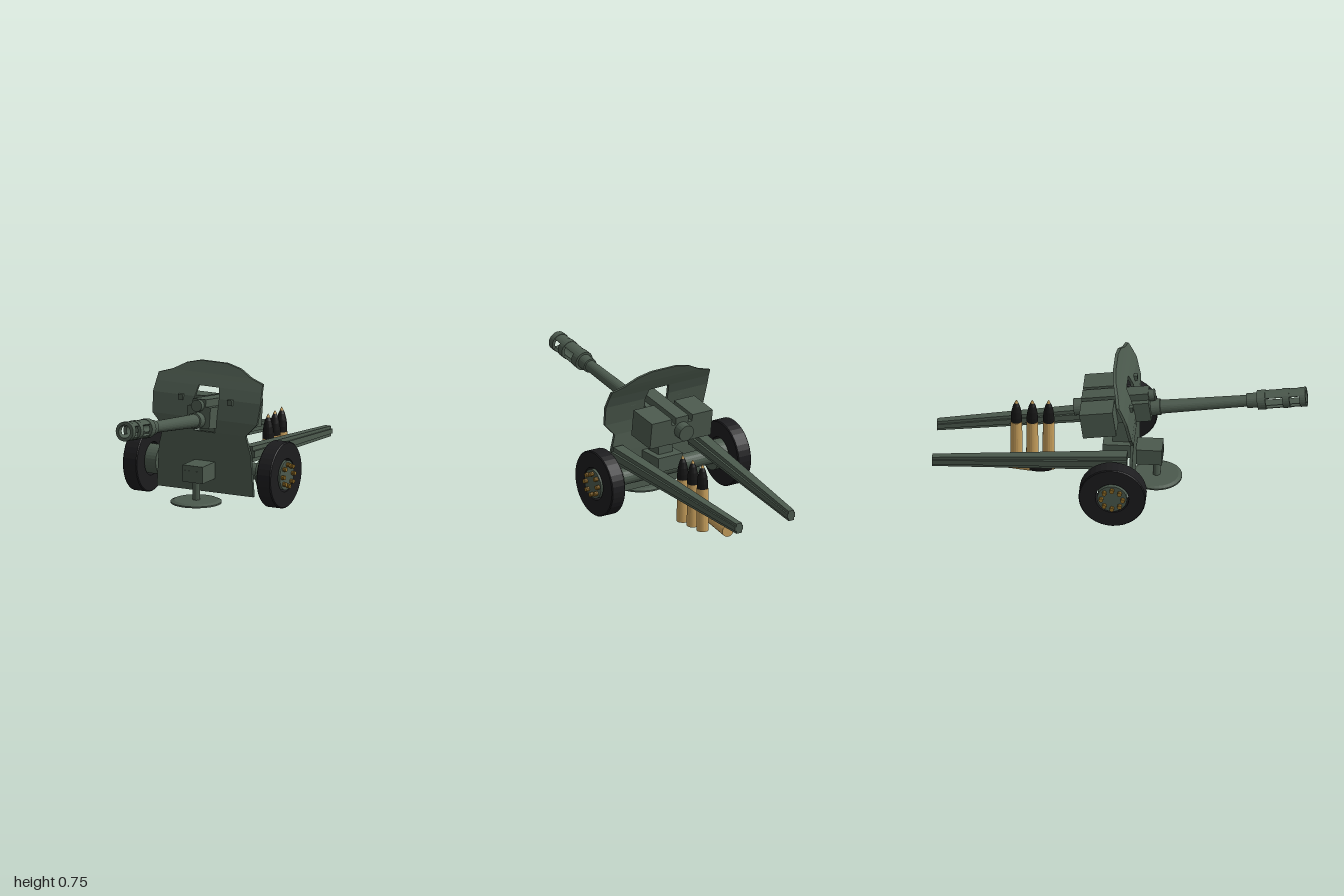
import * as THREE from 'three';

const mat = (color) => new THREE.MeshStandardMaterial({ color, flatShading: true });

export function createModel() {
  const root = new THREE.Group();
  const green = mat(0x4b594d), rubber = mat(0x1c1c1e), brass = mat(0xc79f5c);
  const black = mat(0x151515), bolt = mat(0x8f6b25);

  const add = (parent, name, geo, material, x = 0, y = 0, z = 0) => {
    const m = new THREE.Mesh(geo, material);
    m.name = name;
    m.position.set(x, y, z);
    parent.add(m);
    return m;
  };
  const group = (name, parent = root) => {
    const g = new THREE.Group();
    g.name = name;
    parent.add(g);
    return g;
  };
  const box = (w, h, d) => new THREE.BoxGeometry(w, h, d);
  const lathe = (pts, n = 24) => new THREE.LatheGeometry(pts.map(p => new THREE.Vector2(...p)), n);
  // hollow turned part along +z, profile given as [radius, z]
  const turned = (pts, n = 24) => lathe(pts, n).rotateX(Math.PI / 2);
  const ring = (inner, outer, a, b, n) =>
    turned([[inner, a], [outer, a], [outer, b], [inner, b], [inner, a]], n);

  // ---- Gun: everything here tilts with the barrel, z runs along the bore
  const gun = group('gun');
  gun.position.set(0.003, 0.475, 0.21);
  gun.rotation.x = -0.138;
  add(gun, 'barrel', turned([[0.02, -0.06], [0.044, -0.06], [0.044, 0], [0.037, 0.002], [0.031, 0.466],
    [0.04, 0.467], [0.04, 0.54], [0.02, 0.54], [0.02, -0.06]]), green);
  const brake = group('muzzleBrake', gun);
  for (const [a, b] of [[0.525, 0.57], [0.662, 0.7], [0.754, 0.788]])
    add(brake, 'brakeRing', ring(0.035, 0.053, a, b), green);
  // top and bottom bridges leave windows on both sides
  for (const [a, b] of [[0.57, 0.662], [0.7, 0.754]])
    for (const mid of [Math.PI / 2, -Math.PI / 2]) {
      const s = new THREE.Shape();
      s.absarc(0, 0, 0.05, mid - 0.92, mid + 0.92, false);
      s.absarc(0, 0, 0.035, mid + 0.92, mid - 0.92, true);
      add(brake, 'brakeBridge',
        new THREE.ExtrudeGeometry(s, { depth: b - a, bevelEnabled: false, curveSegments: 8 }), green, 0, 0, a);
    }
  // cradle, recoil cylinder, breech and side housings
  add(gun, 'cradle', box(0.14, 0.115, 0.36), green, 0, 0.017, -0.23);
  add(gun, 'cradleTop', box(0.08, 0.05, 0.36), green, 0, 0.09, -0.23);
  add(gun, 'recoilCylinder', new THREE.CylinderGeometry(0.032, 0.032, 0.1, 20).rotateX(Math.PI / 2),
    green, 0, 0.08, -0.07);
  add(gun, 'breech', new THREE.CylinderGeometry(0.046, 0.046, 0.1, 20).rotateX(Math.PI / 2),
    green, 0, 0.038, -0.412);
  for (const s of [-1, 1])
    add(gun, 'sideHousing', box(0.13, 0.15, 0.18), green, s * 0.13, 0.037, -0.32);

  // ---- Shield: horizontal strips [y, half width, half opening, z]
  const rows = [
    [0.06, 0.292, 0, 0.075], [0.29, 0.277, 0, 0.08], [0.39, 0.249, 0.066, 0.085],
    [0.46, 0.316, 0.071, 0.08], [0.57, 0.326, 0.073, 0.056], [0.627, 0.319, 0.062, 0.032],
    [0.667, 0.315, 0, 0.012], [0.69, 0.24, 0, 0.001], [0.73, 0.165, 0, -0.016], [0.75, 0.08, 0, -0.024],
  ];
  const shield = group('shield');
  for (let i = 0; i < rows.length - 1; i++) {
    const [y0, w0, o0, z0] = rows[i], [y1, w1, o1, z1] = rows[i + 1];
    const open = o0 > 0 && o1 > 0;
    const quads = open
      ? [[[o0, y0], [w0, y0], [w1, y1], [o1, y1]], [[-w0, y0], [-o0, y0], [-o1, y1], [-w1, y1]]]
      : [[[-w0, y0], [w0, y0], [w1, y1], [-w1, y1]]];
    for (const q of quads) {
      const geo = new THREE.ExtrudeGeometry(new THREE.Shape(q.map(p => new THREE.Vector2(...p))),
        { depth: 0.016, bevelEnabled: false });
      const p = geo.attributes.position;
      for (let k = 0; k < p.count; k++)
        p.setZ(k, p.getZ(k) - 0.016 + z0 + (z1 - z0) * (p.getY(k) - y0) / (y1 - y0));
      geo.computeVertexNormals();
      add(shield, 'shieldPlate', geo, green);
    }
  }
  for (const x of [-0.152, 0.147])
    add(shield, 'sightCover', box(0.027, 0.03, 0.03), green, x, 0.56, 0.06);

  // ---- Carriage under the gun
  add(root, 'axle', new THREE.CylinderGeometry(0.045, 0.045, 0.64, 20).rotateZ(Math.PI / 2), green, 0, 0.18, -0.015);
  add(root, 'carriage', box(0.16, 0.08, 0.17), green, 0, 0.23, -0.01);
  add(root, 'saddle', box(0.09, 0.17, 0.1), green, 0, 0.34, 0.005);

  // ---- Wheels
  for (const s of [-1, 1]) {
    const wheel = group(s > 0 ? 'leftWheel' : 'rightWheel');
    wheel.position.set(-0.005, 0.18, -0.015);
    const along = (geo) => geo.rotateZ(-s * Math.PI / 2); // y becomes outward x
    add(wheel, 'tyre', along(lathe([[0.09, 0.362], [0.175, 0.362], [0.18, 0.367], [0.18, 0.442],
      [0.175, 0.447], [0.09, 0.447], [0.09, 0.362]], 36)), rubber);
    add(wheel, 'hub', along(lathe([[0, 0.3], [0.08, 0.3], [0.08, 0.452], [0, 0.452]], 28)), green);
    for (let i = 0; i < 8; i++) {
      const a = i * Math.PI / 4;
      add(wheel, 'wheelBolt', new THREE.CylinderGeometry(0.012, 0.012, 0.03, 10).rotateZ(Math.PI / 2),
        bolt, s * 0.457, 0.058 * Math.sin(a), 0.058 * Math.cos(a));
    }
  }

  // ---- Trails: tapered beams with a cross-shaped section
  const trailBeam = (s, w, h) => {
    const geo = box(1, 1, 1);
    const p = geo.attributes.position;
    for (let k = 0; k < p.count; k++) {
      const t = 0.5 - p.getZ(k);
      const lerp = (a, b) => a + (b - a) * t;
      p.setXYZ(k, s * 0.242 + s * lerp(0, -0.074) + p.getX(k) * w * lerp(0.088, 0.05),
        lerp(0.288, 0.183) + p.getY(k) * h * lerp(0.086, 0.056), lerp(0.05, -1));
    }
    geo.computeVertexNormals();
    return geo;
  };
  for (const s of [-1, 1]) {
    const trail = group(s > 0 ? 'leftTrail' : 'rightTrail');
    add(trail, 'trailWeb', trailBeam(s, 0.7, 1), green);
    add(trail, 'trailRib', trailBeam(s, 1, 0.45), green);
  }

  // ---- Front support jack
  const jack = group('frontJack');
  jack.position.set(0.006, 0, 0.187);
  add(jack, 'jackPlate', new THREE.CylinderGeometry(0.118, 0.137, 0.009, 32), green, 0, 0.0355, 0);
  add(jack, 'jackPlateRim', new THREE.CylinderGeometry(0.137, 0.137, 0.008, 32), green, 0, 0.028, 0);
  add(jack, 'jackPost', new THREE.CylinderGeometry(0.02, 0.02, 0.12, 16), green, 0, 0.095, 0);
  add(jack, 'jackBox', box(0.122, 0.092, 0.14), green, -0.004, 0.184, -0.036);
  for (const x of [-0.031, 0.023])
    add(jack, 'jackBoxPanel', box(0.038, 0.038, 0.006), green, x, 0.183, 0.034);

  // ---- Ammunition
  const shell = (name) => {
    const g = group(name);
    add(g, 'casing', lathe([[0, 0], [0.033, 0], [0.031, 0.24], [0, 0.24]], 20), brass);
    add(g, 'projectile', lathe([[0.03, 0.238], [0.03, 0.27], [0.026, 0.305], [0.018, 0.338], [0.009, 0.357]], 20), black);
    add(g, 'fuse', lathe([[0.01, 0.355], [0.006, 0.366], [0, 0.375]], 12), brass);
    return g;
  };
  [[0.127, -0.4], [0.121, -0.487], [0.116, -0.572]].forEach(([x, z]) =>
    shell('standingShell').position.set(x, 0.025, z));
  const lying = shell('lyingShell');
  lying.position.set(0.053, 0.053, -0.722);
  lying.quaternion.setFromUnitVectors(new THREE.Vector3(0, 1, 0), new THREE.Vector3(-0.17, 0, 0.985).normalize());

  return root;
}
